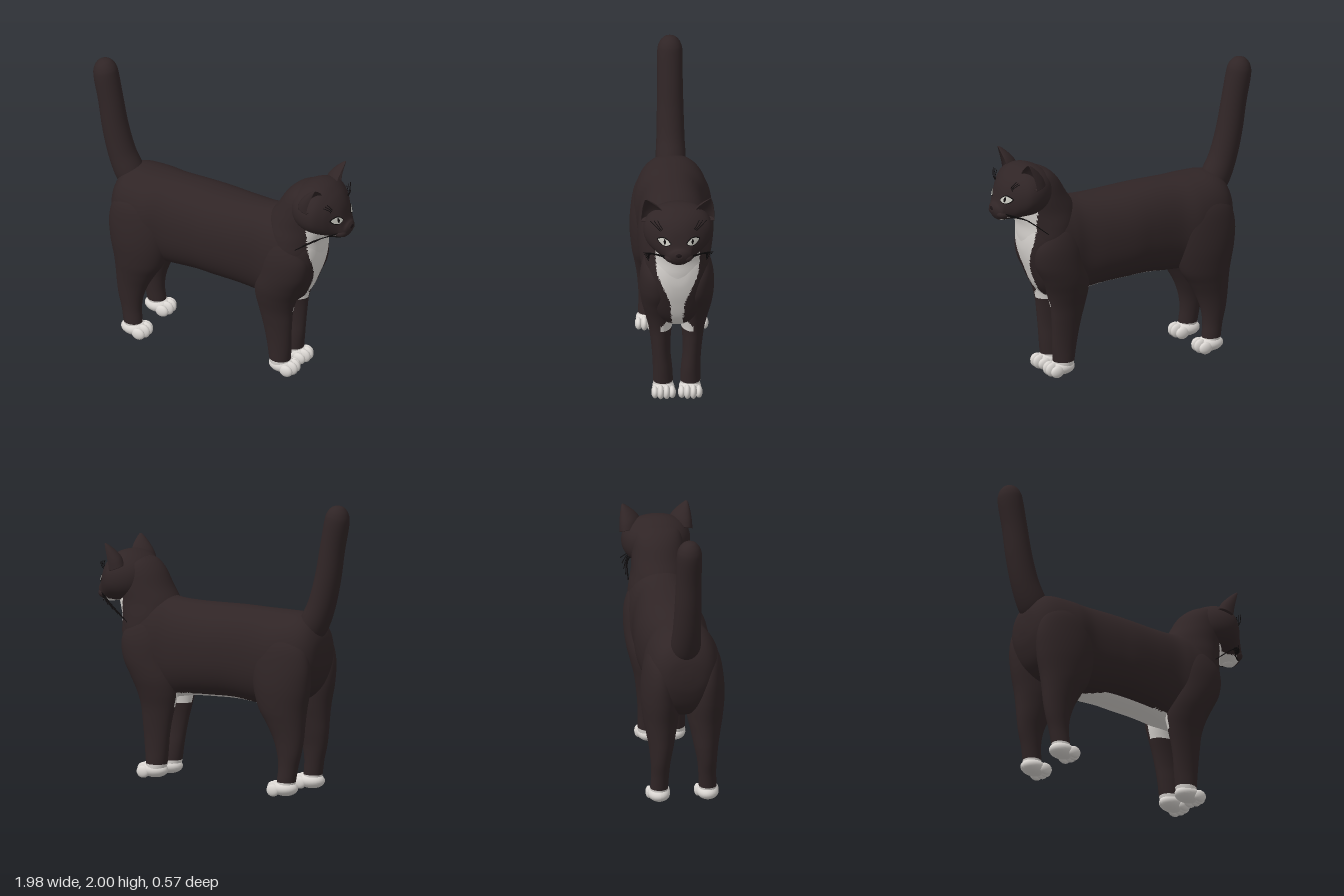
import * as THREE from 'three';

const mat = (name, color) => {
  const m = new THREE.MeshStandardMaterial({ color });
  m.name = name;
  return m;
};

// Smooth tube through rings [cx,cy,cz, ux,uy,uz, vx,vy,vz]; u x v points along the loft
function loft(rings, { sides = 64, steps = 8, power = 2, shape } = {}) {
  const at = (i) => rings[Math.min(Math.max(i, 0), rings.length - 1)];
  const rows = [];
  for (let i = 0; i < rings.length - 1; i++) {
    for (let s = 0; s < steps + (i === rings.length - 2 ? 1 : 0); s++) {
      const t = s / steps;
      rows.push(at(i).map((b, k) => {
        const a = at(i - 1)[k], c = at(i + 1)[k], d = at(i + 2)[k];
        return 0.5 * (2 * b + (c - a) * t + (2 * a - 5 * b + 4 * c - d) * t * t + (3 * b - a - 3 * c + d) * t * t * t);
      }));
    }
  }
  // Close both ends on a point
  const point = (r) => r.map((v, k) => (k < 3 ? v : 0));
  rows.unshift(point(rows[0]));
  rows.push(point(rows[rows.length - 1]));
  const round = (v) => Math.sign(v) * Math.abs(v) ** (2 / power);
  const pos = [], idx = [];
  rows.forEach((r, i) => {
    for (let j = 0; j < sides; j++) {
      const a = (j / sides) * Math.PI * 2;
      const [p, q] = shape ? shape(a) : [round(Math.cos(a)), round(Math.sin(a))];
      for (let k = 0; k < 3; k++) pos.push(r[k] + p * r[3 + k] + q * r[6 + k]);
      if (i === rows.length - 1) continue;
      const A = i * sides + j, B = i * sides + ((j + 1) % sides);
      if (i > 0) idx.push(A, B, A + sides);
      if (i < rows.length - 2) idx.push(B, B + sides, A + sides);
      else if (i === 0) idx.push(B, B + sides, A + sides);
    }
  });
  const g = new THREE.BufferGeometry();
  g.setAttribute('position', new THREE.Float32BufferAttribute(pos, 3));
  g.setIndex(idx);
  g.computeVertexNormals();
  return g;
}

// Rows [x, top, bottom, halfWidth] and [y, back, front, zInner, zOuter]
const alongX = (rows, o) => loft(rows.map(([x, t, b, w]) => [x, (t + b) / 2, 0, 0, (t - b) / 2, 0, 0, 0, w]), o);
const alongY = (rows, o) => loft(rows.map(([y, x0, x1, z0, z1]) =>
  [(x0 + x1) / 2, y, (z0 + z1) / 2, 0, 0, (z1 - z0) / 2, (x1 - x0) / 2, 0, 0]), o);

function mirrorZ(geo) {
  const g = geo.clone(), ix = g.index.array;
  g.scale(1, 1, -1);
  for (let i = 0; i < ix.length; i += 3) [ix[i], ix[i + 1]] = [ix[i + 1], ix[i]];
  g.computeVertexNormals();
  return g;
}

// Sort triangles into fur and white groups by a rule on their centres
function paint(geo, rule) {
  const p = geo.attributes.position, ix = geo.index.array, dark = [], light = [];
  for (let i = 0; i < ix.length; i += 3) {
    const t = [ix[i], ix[i + 1], ix[i + 2]];
    const mid = (f) => t.reduce((s, v) => s + p[f](v), 0) / 3;
    (rule(mid('getX'), mid('getY'), Math.abs(mid('getZ'))) ? light : dark).push(...t);
  }
  geo.setIndex([...dark, ...light]);
  geo.clearGroups();
  geo.addGroup(0, dark.length, 0);
  if (light.length) geo.addGroup(dark.length, light.length, 1);
  return geo;
}

// White bib, belly stripe and socks
const bib = [[0.53, 0.025], [0.62, 0.04], [0.78, 0.05], [0.9, 0.1], [1.0, 0.14], [1.25, 0.16]];
function bibWidth(y) {
  for (let i = 1; i < bib.length; i++) {
    const [y0, w0] = bib[i - 1], [y1, w1] = bib[i];
    if (y >= y0 && y <= y1) return w0 + ((w1 - w0) * (y - y0)) / (y1 - y0);
  }
  return 0;
}
const coat = (x, y, z) => y < 0.1 || (x > 0.55 && z < bibWidth(y)) ||
  (y < 0.64 && x > -0.42 && x < 0.6 && z < 0.11 * Math.sqrt(Math.min(1, (x + 0.42) * 4)) && y > 0.5);

export function createModel() {
  const cat = new THREE.Group();
  cat.name = 'cat';
  const fur = mat('darkFur', 0x302526), white = mat('whiteFur', 0xdad6d2);
  const black = mat('black', 0x0e0b0c), nose = mat('noseSkin', 0x1d1517), eye = mat('eye', 0xc9c8c0);
  const add = (name, geo, m) => {
    const mesh = new THREE.Mesh(geo, m);
    mesh.name = name;
    cat.add(mesh);
    return mesh;
  };
  const pair = (name, geo, m) => { add(name + 'Left', geo, m); add(name + 'Right', mirrorZ(geo), m); };
  const coats = [fur, white];
  const pairPainted = (name, geo) => {
    add(name + 'Left', paint(geo.clone(), coat), coats);
    add(name + 'Right', paint(mirrorZ(geo), coat), coats);
  };

  // Torso and neck
  add('torso', paint(alongX([
    [-0.805, 1.0, 0.94, 0.03], [-0.79, 1.1, 0.84, 0.13], [-0.74, 1.19, 0.72, 0.2], [-0.65, 1.235, 0.64, 0.24],
    [-0.5, 1.24, 0.59, 0.26], [-0.35, 1.24, 0.585, 0.235], [-0.15, 1.24, 0.6, 0.24], [0, 1.235, 0.597, 0.245],
    [0.2, 1.23, 0.585, 0.23], [0.35, 1.235, 0.56, 0.215], [0.45, 1.25, 0.54, 0.225], [0.55, 1.26, 0.54, 0.23],
    [0.65, 1.25, 0.62, 0.205], [0.72, 1.2, 0.78, 0.155], [0.755, 1.14, 0.9, 0.09], [0.765, 1.04, 0.99, 0.03],
  ], { sides: 88, power: 2.25 }), coat), coats);
  add('neck', paint(alongY([
    [0.82, 0.5, 0.69, -0.1, 0.1], [0.9, 0.45, 0.745, -0.18, 0.18], [1.0, 0.4, 0.768, -0.215, 0.215],
    [1.1, 0.37, 0.78, -0.21, 0.21], [1.2, 0.38, 0.81, -0.19, 0.19], [1.3, 0.44, 0.82, -0.18, 0.18],
    [1.4, 0.5, 0.8, -0.165, 0.165], [1.46, 0.56, 0.78, -0.14, 0.14], [1.49, 0.62, 0.74, -0.08, 0.08],
  ], { sides: 88 }), coat), coats);

  // Legs
  pairPainted('frontLeg', alongY([
    [0.04, 0.425, 0.56, 0.03, 0.155], [0.1, 0.41, 0.56, 0.025, 0.16], [0.2, 0.395, 0.568, 0.03, 0.16],
    [0.3, 0.38, 0.573, 0.04, 0.165], [0.4, 0.36, 0.58, 0.04, 0.175], [0.5, 0.335, 0.59, 0.03, 0.19],
    [0.6, 0.315, 0.618, 0.01, 0.215], [0.7, 0.32, 0.66, 0.01, 0.238], [0.82, 0.35, 0.715, 0.01, 0.25],
    [0.95, 0.38, 0.72, 0.04, 0.245], [1.06, 0.43, 0.66, 0.07, 0.215], [1.12, 0.5, 0.58, 0.11, 0.17],
  ]));
  pairPainted('hindLeg', alongY([
    [0.04, -0.66, -0.545, 0.11, 0.22], [0.1, -0.672, -0.54, 0.105, 0.225], [0.2, -0.69, -0.548, 0.1, 0.22],
    [0.3, -0.715, -0.535, 0.09, 0.225], [0.4, -0.73, -0.5, 0.07, 0.235], [0.5, -0.738, -0.445, 0.05, 0.252],
    [0.6, -0.75, -0.385, 0.03, 0.27], [0.75, -0.778, -0.345, 0.02, 0.283], [0.9, -0.785, -0.34, 0.04, 0.275],
    [1.03, -0.75, -0.38, 0.07, 0.25], [1.12, -0.66, -0.45, 0.1, 0.2], [1.15, -0.58, -0.52, 0.13, 0.16],
  ]));

  // Paws with four toes each
  for (const [name, px, pz] of [['front', 0.51, 0.09], ['hind', -0.585, 0.165]]) {
    const ball = (x, y, z, rx, ry, rz) => new THREE.SphereGeometry(1, 24, 16).scale(rx, ry, rz).translate(px + x, y, pz + z);
    pair(name + 'Paw', ball(-0.01, 0.055, 0, 0.095, 0.053, 0.075), white);
    [-0.058, -0.02, 0.02, 0.058].forEach((z, i) => {
      const mid = i === 1 || i === 2;
      pair(name + 'Toe' + (i + 1), ball(mid ? 0.07 : 0.05, mid ? 0.05 : 0.042, z, 0.048, mid ? 0.049 : 0.042, 0.025), white);
    });
  }

  // Tail, rings turned across its path
  const tail = [[-0.68, 1.06, 0.07], [-0.72, 1.16, 0.1], [-0.785, 1.31, 0.095], [-0.835, 1.5, 0.09], [-0.87, 1.7, 0.086],
    [-0.905, 1.88, 0.086], [-0.913, 1.945, 0.074], [-0.916, 1.985, 0.045], [-0.917, 1.998, 0.014]];
  add('tail', loft(tail.map(([x, y, r], i) => {
    const a = tail[Math.max(i - 1, 0)], b = tail[Math.min(i + 1, tail.length - 1)];
    const l = Math.hypot(b[0] - a[0], b[1] - a[1]), dx = (b[0] - a[0]) / l, dy = (b[1] - a[1]) / l;
    return [x, y, 0, 0, 0, r, dy * r, -dx * r, 0];
  }), { sides: 40 }), fur);

  // Head with white chin
  const head = add('head', paint(alongX([
    [0.555, 1.4, 1.33, 0.04], [0.58, 1.45, 1.27, 0.12], [0.64, 1.5, 1.21, 0.19], [0.72, 1.528, 1.18, 0.228],
    [0.8, 1.52, 1.175, 0.228], [0.86, 1.485, 1.17, 0.185], [0.9, 1.445, 1.165, 0.135], [0.93, 1.39, 1.16, 0.1],
    [0.955, 1.3, 1.17, 0.08], [0.975, 1.28, 1.195, 0.055], [0.987, 1.262, 1.225, 0.025],
  ], { sides: 72, power: 2.15 }), (x, y, z) => y < 1.2 && x > 0.7 && x < 0.945 && z < 0.1), coats);
  pair('whiskerPad', new THREE.SphereGeometry(1, 24, 16).scale(0.05, 0.036, 0.046).translate(0.925, 1.217, 0.05), fur);
  add('chin', new THREE.SphereGeometry(1, 24, 16).scale(0.045, 0.025, 0.045).translate(0.905, 1.18, 0), white);

  // Ears: hollow crescent sections narrowing to the tip
  const crescent = (a) => [Math.cos(a), Math.sin(a) > 0 ? Math.sin(a) : 0.5 * Math.abs(Math.sin(a))];
  pair('ear', loft([
    [0.79, 1.42, 0.165, 0.02, 0.01, -0.08, -0.1, 0.03, 0.02],
    [0.795, 1.47, 0.17, 0.018, 0.012, -0.074, -0.085, 0.025, 0.018],
    [0.805, 1.52, 0.185, 0.014, 0.01, -0.055, -0.06, 0.018, 0.012],
    [0.815, 1.565, 0.205, 0.007, 0.005, -0.027, -0.03, 0.01, 0.006],
    [0.82, 1.592, 0.218, 0.001, 0.001, -0.006, -0.008, 0.002, 0.001],
  ].map((r) => [...r.slice(0, 3), ...r.slice(6), ...r.slice(3, 6)]),
  { sides: 40, shape: (a) => { const [u, v] = crescent(Math.PI / 2 - a); return [v, u]; } }),
  Object.assign(fur.clone(), { side: THREE.DoubleSide }));

  // Thin face markings laid onto the head
  head.updateMatrixWorld();
  const ray = new THREE.Raycaster();
  const decal = (y, z, w, h, tilt, lift) => {
    const g = new THREE.RingGeometry(0.001, 1, 28, 4), p = g.attributes.position;
    for (let i = 0; i < p.count; i++) {
      const a = p.getX(i) * w, b = p.getY(i) * h * (1 - 0.5 * p.getX(i) ** 2);
      const py = y + b * Math.cos(tilt) - a * Math.sin(tilt), pz = z - a * Math.cos(tilt) - b * Math.sin(tilt);
      ray.set(new THREE.Vector3(2, py, pz), new THREE.Vector3(-1, 0, 0));
      const hit = ray.intersectObject(head)[0];
      p.setXYZ(i, (hit ? hit.point.x : 0.88) + lift, py, pz);
    }
    g.computeVertexNormals();
    return g;
  };
  pair('eyeRim', decal(1.33, 0.098, 0.049, 0.03, 0.2, 0.003), black);
  pair('eye', decal(1.33, 0.098, 0.042, 0.024, 0.2, 0.006), eye);
  pair('pupil', decal(1.332, 0.094, 0.008, 0.019, 0, 0.009), black);
  add('nose', new THREE.SphereGeometry(1, 20, 14).scale(0.016, 0.018, 0.028).translate(0.976, 1.25, 0), nose);

  // Mouth, whiskers and brow hairs
  const hair = (name, pts, r) => pair(name, new THREE.TubeGeometry(
    new THREE.CatmullRomCurve3(pts.map((p) => new THREE.Vector3(...p))), 14, r, 5), black);
  hair('mouth', [[0.978, 1.225, 0.002], [0.967, 1.198, 0.015], [0.94, 1.185, 0.06], [0.88, 1.195, 0.105]], 0.004);
  for (let i = 0; i < 6; i++) {
    const k = i / 5;
    hair('whisker' + (i + 1), [[0.93 - 0.04 * k, 1.225 - 0.025 * k, 0.088 + 0.015 * k],
      [0.86 - 0.05 * k, 1.215 - 0.03 * k, 0.18], [0.82 - 0.17 * k, 1.2 - 0.14 * k, 0.235 - 0.04 * k]], 0.003);
  }
  for (let i = 0; i < 3; i++) {
    hair('browHair' + (i + 1), [[0.89, 1.385, 0.09 + i * 0.012], [0.895, 1.42, 0.115 + i * 0.015], [0.87, 1.46, 0.14 + i * 0.025]], 0.0025);
  }
  return cat;
}
